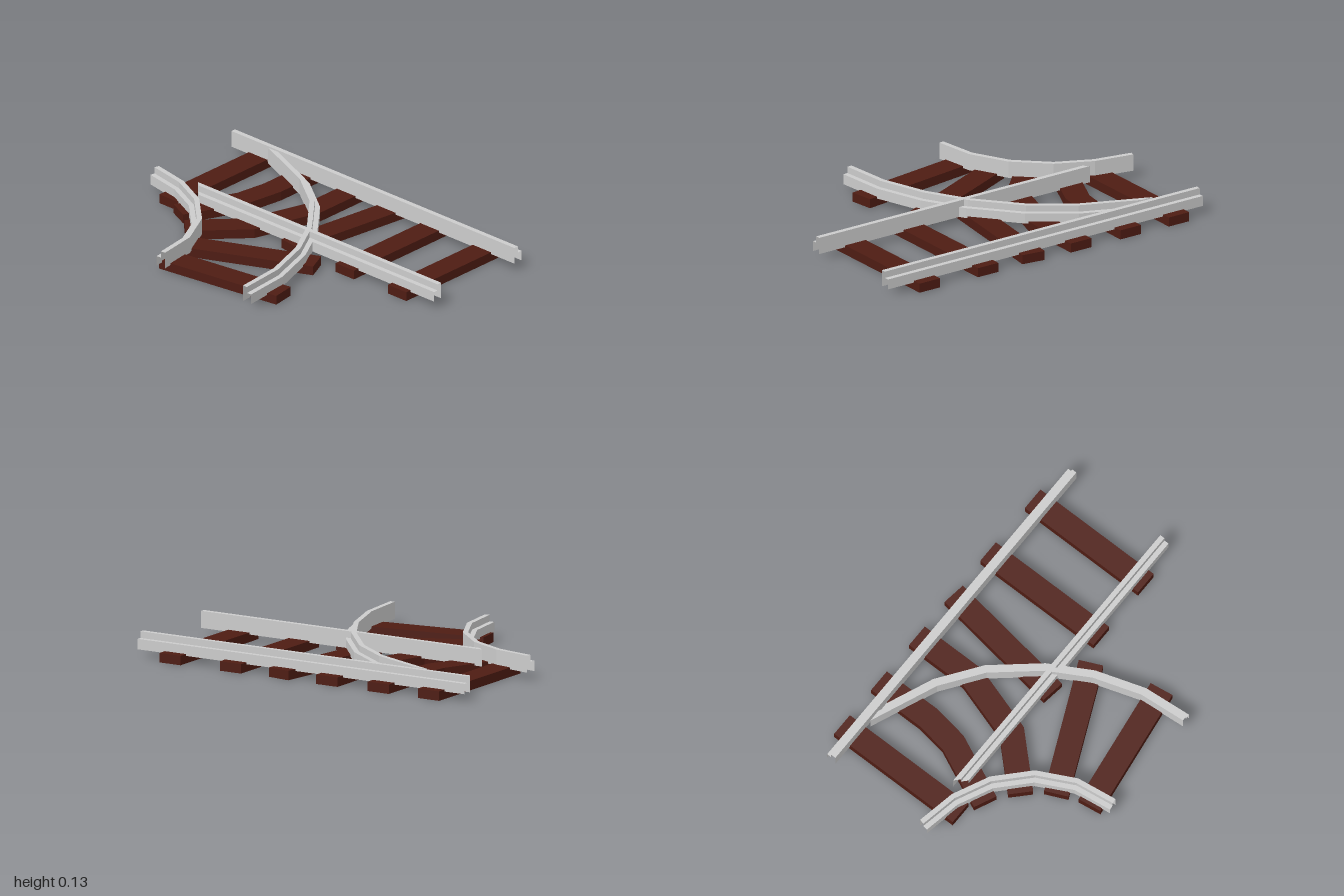
import * as THREE from 'three';

const steel = new THREE.MeshStandardMaterial({ color: 0xcccccc, flatShading: true, side: THREE.DoubleSide });
const wood = new THREE.MeshStandardMaterial({ color: 0x4e1c13, flatShading: true, side: THREE.DoubleSide });

// Open-bottomed cross-sections as [offset across the path, height]
const R = 0.027, T = 0.065;
const railSection = [[-R, 0.04], [-R, 0.095], [0, 0.095], [0, 0.13], [R, 0.13], [R, 0.04]];
const tieSection = [[-T, 0], [-T, 0.05], [T, 0.05], [T, 0]];

// Sweeps a section along [x, z] points with mitred corners.
// side flips the section left/right, cut slants the first end.
function sweep(path, section, { side = 1, cut = 0, caps = false } = {}) {
  const pts = path.map(p => new THREE.Vector2(...p));
  const dirs = pts.slice(1).map((p, i) => p.clone().sub(pts[i]).normalize());
  const rings = pts.map((p, i) => {
    const a = dirs[Math.max(i - 1, 0)], b = dirs[Math.min(i, dirs.length - 1)];
    const t = a.clone().add(b).normalize();
    const k = side / t.dot(a);
    return section.map(([o, y]) => {
      const slide = i === 0 ? -cut * o : 0;
      return [p.x + t.y * o * k + t.x * slide, y, p.y - t.x * o * k + t.y * slide];
    });
  });
  const pos = [];
  const quad = (a, b, c, d) => {
    const q = side > 0 ? [a, b, c, a, c, d] : [a, c, b, a, d, c];
    q.forEach(v => pos.push(...v));
  };
  for (let i = 0; i < rings.length - 1; i++) {
    for (let j = 0; j < section.length - 1; j++) {
      quad(rings[i][j], rings[i + 1][j], rings[i + 1][j + 1], rings[i][j + 1]);
    }
  }
  if (caps) {
    quad(...rings[0]);
    quad(...rings[rings.length - 1].slice().reverse());
  }
  const geo = new THREE.BufferGeometry();
  geo.setAttribute('position', new THREE.Float32BufferAttribute(pos, 3));
  geo.computeVertexNormals();
  return geo;
}

export function createModel() {
  const group = new THREE.Group();
  const add = (name, geo, material) => {
    const mesh = new THREE.Mesh(geo, material);
    mesh.name = name;
    group.add(mesh);
  };

  // Stepped rails: the high half faces the inside of its own track
  add('backStraightRail', sweep([[-1, -0.612], [1, -0.612]], railSection, { side: -1 }), steel);
  add('frontStraightRail', sweep([[-0.69, -0.005], [1, -0.005]], railSection, { cut: 1.1 }), steel);
  add('innerCurvedRail', sweep([[-1, -0.005], [-0.79, 0.035], [-0.6, 0.125], [-0.435, 0.28],
    [-0.335, 0.475], [-0.305, 0.69]], railSection), steel);
  add('outerCurvedRail', sweep([[-0.66, -0.572], [-0.35, -0.443], [-0.13, -0.285], [0.07, -0.05],
    [0.195, 0.17], [0.28, 0.43], [0.303, 0.69]], railSection, { side: -1, cut: 2.3 }), steel);

  // Hollow wooden ties, the middle ones bending toward the branch
  const ties = [
    [[-0.812, -0.69], [-0.812, 0.09]],
    [[-0.505, -0.69], [-0.505, -0.365], [-0.533, -0.18], [-0.685, 0.152]],
    [[-0.19, -0.69], [-0.19, -0.325], [-0.298, 0.02], [-0.533, 0.265]],
    [[0.108, -0.685], [0.005, 0.05]],
    [[0.4, -0.69], [0.4, 0.055]],
    [[0.77, -0.69], [0.77, 0.055]],
    [[-0.423, 0.412], [0.252, 0.105]],
    [[-0.365, 0.585], [0.365, 0.48]],
  ];
  ties.forEach((path, i) => add('tie' + (i + 1), sweep(path, tieSection, { caps: true }), wood));

  return group;
}
